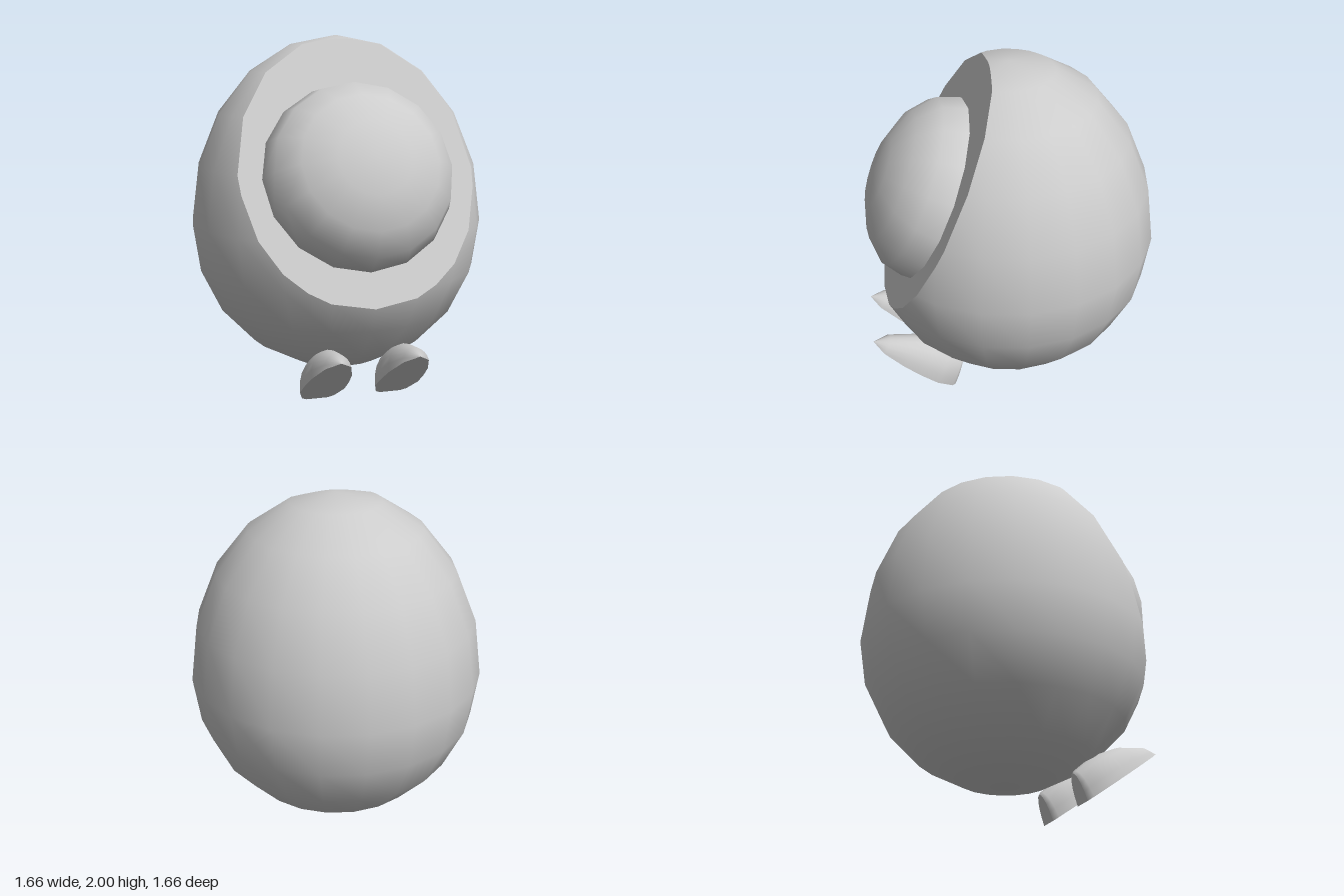
import * as THREE from 'three';

const CUT_NORMAL = new THREE.Vector3(0, 0.4186, 0.908).normalize();
const CUT_POINT = new THREE.Vector3(0, 1.98, 0.1);
const RADIUS = 0.83, MIDDLE = 0.95, UPPER = 1.05, LOWER = 0.85;

function geometryFrom(points, normals) {
  const g = new THREE.BufferGeometry().setFromPoints(points);
  if (normals) g.setAttribute('normal', new THREE.Float32BufferAttribute(normals.flatMap(n => n.toArray()), 3));
  else g.computeVertexNormals();
  return g;
}

// Egg-shaped body sliced by the sloping face plane, plus the flat slice
function slicedBody() {
  const sphere = new THREE.SphereGeometry(1, 20, 10).toNonIndexed();
  const pos = sphere.attributes.position;
  const vertex = i => {
    const p = new THREE.Vector3().fromBufferAttribute(pos, i);
    return p.set(p.x * RADIUS, MIDDLE + p.y * (p.y > 0 ? UPPER : LOWER), p.z * RADIUS);
  };
  const side = p => p.clone().sub(CUT_POINT).dot(CUT_NORMAL);
  const normalAt = p => {
    const b = p.y > MIDDLE ? UPPER : LOWER;
    return new THREE.Vector3(p.x / RADIUS ** 2, (p.y - MIDDLE) / b ** 2, p.z / RADIUS ** 2).normalize();
  };
  const shell = [], rim = [];
  for (let i = 0; i < pos.count; i += 3) {
    const tri = [vertex(i), vertex(i + 1), vertex(i + 2)], kept = [];
    tri.forEach((a, k) => {
      const b = tri[(k + 1) % 3], da = side(a), db = side(b);
      if (da <= 0) kept.push(a);
      if ((da <= 0) !== (db <= 0)) {
        const p = a.clone().lerp(b, da / (da - db));
        kept.push(p);
        rim.push(p);
      }
    });
    for (let k = 1; k + 1 < kept.length; k++) shell.push(kept[0], kept[k], kept[k + 1]);
  }

  // Order the rim around its centre and fill it with a fan
  const centre = new THREE.Vector3(0, 1.275, 0.425);
  const up = new THREE.Vector3(0, CUT_NORMAL.z, -CUT_NORMAL.y);
  const angle = p => Math.atan2(p.clone().sub(centre).dot(up), p.x);
  rim.sort((a, b) => angle(a) - angle(b));
  centre.addScaledVector(CUT_NORMAL, -side(centre));
  const face = rim.flatMap((p, i) => [centre, p, rim[(i + 1) % rim.length]]);
  return { shell: geometryFrom(shell, shell.map(normalAt)), face: geometryFrom(face, face.map(() => CUT_NORMAL)) };
}

// Foot sections from heel to toe: distance, half width, height, backward lean
const FOOT = [
  [0, 0.06, 0.165, 0.048], [0.028, 0.092, 0.172, 0.035], [0.136, 0.126, 0.182, 0.03],
  [0.25, 0.124, 0.176, 0.01], [0.37, 0.11, 0.152, 0], [0.51, 0.07, 0.077, 0], [0.58, 0.001, 0.001, 0],
];

function footGeometries() {
  const steps = 10, points = [], index = [], flat = [];
  for (const [u, w, h, lean] of FOOT) {
    for (let j = 0; j <= steps; j++) {
      const a = Math.PI * j / steps;
      points.push(new THREE.Vector3(w * Math.cos(a), h * Math.sin(a), u + lean * Math.sin(a)));
    }
  }
  const at = (i, j) => i * (steps + 1) + j;
  for (let i = 0; i + 1 < FOOT.length; i++) {
    for (let j = 0; j < steps; j++) {
      index.push(at(i, j), at(i, j + 1), at(i + 1, j), at(i, j + 1), at(i + 1, j + 1), at(i + 1, j));
    }
    // Flat sole
    const [a, b, c, d] = [at(i, 0), at(i + 1, 0), at(i + 1, steps), at(i, steps)].map(k => points[k]);
    flat.push(a, b, c, a, c, d);
  }
  // Heel end
  for (let j = 0; j < steps; j++) flat.push(new THREE.Vector3(), points[at(0, j + 1)], points[at(0, j)]);
  const upper = new THREE.BufferGeometry().setFromPoints(points);
  upper.setIndex(index);
  upper.computeVertexNormals();
  return { upper, sole: geometryFrom(flat) };
}

export function createModel() {
  const model = new THREE.Group();
  model.name = 'roundFigure';
  const grey = new THREE.MeshStandardMaterial({ color: 0xcccccc });
  grey.name = 'lightGrey';
  const add = (parent, name, geometry) => {
    const mesh = new THREE.Mesh(geometry, grey);
    mesh.name = name;
    parent.add(mesh);
    return mesh;
  };

  const body = slicedBody();
  add(model, 'body', body.shell);
  add(model, 'facePlate', body.face);

  // Flattened dome bulging from the sloping face
  const domeShape = new THREE.SphereGeometry(1, 16, 4, 0, Math.PI * 2, 0, Math.PI / 2);
  domeShape.scale(0.53, 0.344, 0.53);
  const dome = add(model, 'faceDome', domeShape);
  dome.position.set(0, 1.25, 0.437);
  dome.rotation.x = Math.acos(CUT_NORMAL.y);

  // Feet with toes raised
  const shape = footGeometries();
  for (const [name, x] of [['leftFoot', 0.215], ['rightFoot', -0.215]]) {
    const foot = new THREE.Group();
    foot.name = name;
    add(foot, 'footUpper', shape.upper);
    add(foot, 'sole', shape.sole);
    foot.position.set(x, 0.003, 0.36);
    foot.rotation.x = -0.626;
    model.add(foot);
  }
  return model;
}
